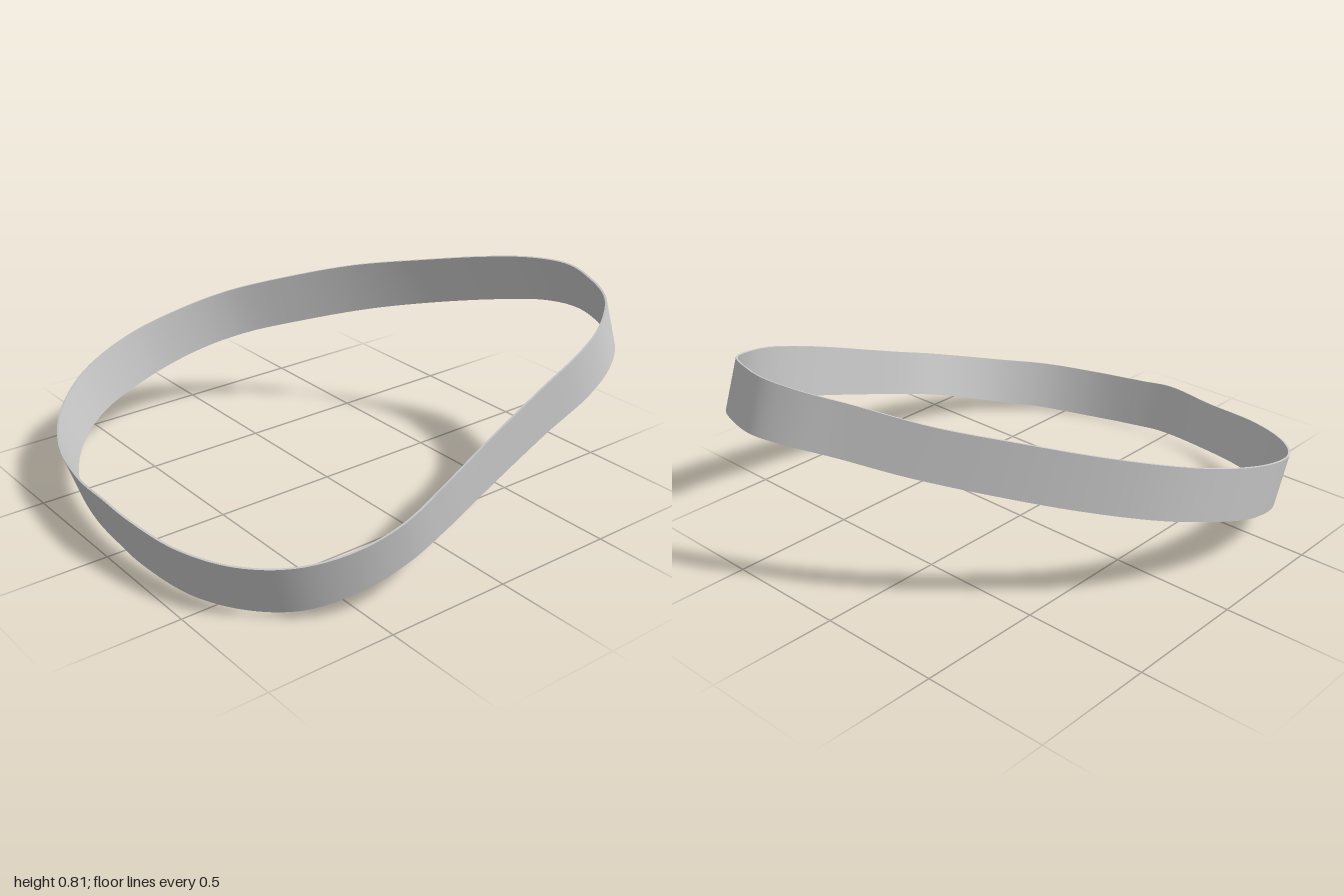
import * as THREE from 'three';

// Upper rim of the band, clockwise seen from above, starting at the high end
const TOP = [
  [.93, .81, .36], [.90, .80, .5], [.83, .775, .65], [.70, .73, .75], [.55, .685, .805],
  [.3, .598, .835], [0, .48, .865], [-.2, .40, .89], [-.38, .332, .905], [-.55, .275, .87],
  [-.72, .23, .775], [-.86, .21, .62], [-.95, .205, .4], [-.99, .22, .15], [-1, .235, 0],
  [-.985, .225, -.22], [-.93, .245, -.47], [-.8, .285, -.69], [-.6, .345, -.85],
  [-.35, .42, -.911], [-.12, .485, -.885], [.08, .545, -.81], [.3, .61, -.65],
  [.5, .672, -.455], [.68, .722, -.22], [.82, .775, .03], [.9, .80, .2],
];
// Lower rim, station by station below the upper one
const BOTTOM = [
  [.997, .615, .36], [.965, .605, .51], [.89, .58, .66], [.77, .54, .75], [.61, .487, .80],
  [.36, .405, .82], [.05, .295, .85], [-.15, .22, .87], [-.33, .155, .877], [-.5, .095, .845],
  [-.67, .04, .755], [-.80, .015, .61], [-.895, .004, .4], [-.94, .02, .15], [-.945, .035, 0],
  [-.925, .04, -.22], [-.865, .055, -.46], [-.735, .09, -.68], [-.54, .14, -.835],
  [-.29, .21, -.888], [-.06, .285, -.86], [.14, .345, -.78], [.36, .41, -.61],
  [.56, .475, -.41], [.745, .535, -.17], [.88, .585, .06], [.965, .61, .22],
];
const SEGMENTS = 216;
const THICKNESS = 0.008;

const rimCurve = (pts) =>
  new THREE.CatmullRomCurve3(pts.map((p) => new THREE.Vector3(...p)), true);

// Closed smooth strip between two rings of points
function strip(a, b) {
  const positions = [], index = [], n = a.length;
  for (let i = 0; i < n; i++) {
    positions.push(...a[i].toArray(), ...b[i].toArray());
    const p = 2 * i, q = 2 * ((i + 1) % n);
    index.push(p, q, p + 1, q, q + 1, p + 1);
  }
  const geometry = new THREE.BufferGeometry();
  geometry.setAttribute('position', new THREE.Float32BufferAttribute(positions, 3));
  geometry.setIndex(index);
  geometry.computeVertexNormals();
  return geometry;
}

export function createModel() {
  const group = new THREE.Group();
  group.name = 'band';
  const material = new THREE.MeshStandardMaterial({ color: 0xcccccc });
  const top = rimCurve(TOP), bottom = rimCurve(BOTTOM);

  // Four corner rings of the thin rectangular section
  const outerTop = [], outerBottom = [], innerTop = [], innerBottom = [];
  for (let i = 0; i < SEGMENTS; i++) {
    const t = i / SEGMENTS;
    const a = top.getPoint(t), b = bottom.getPoint(t);
    const inward = top.getTangent(t).cross(a.clone().sub(b)).normalize().multiplyScalar(THICKNESS);
    outerTop.push(a);
    outerBottom.push(b);
    innerTop.push(a.clone().add(inward));
    innerBottom.push(b.clone().add(inward));
  }

  // Walls and rims, each with its own normals so the edges stay sharp
  const faces = {
    outerWall: [outerTop, outerBottom],
    lowerRim: [outerBottom, innerBottom],
    innerWall: [innerBottom, innerTop],
    upperRim: [innerTop, outerTop],
  };
  for (const [name, [a, b]] of Object.entries(faces)) {
    const mesh = new THREE.Mesh(strip(a, b), material);
    mesh.name = name;
    group.add(mesh);
  }
  return group;
}
